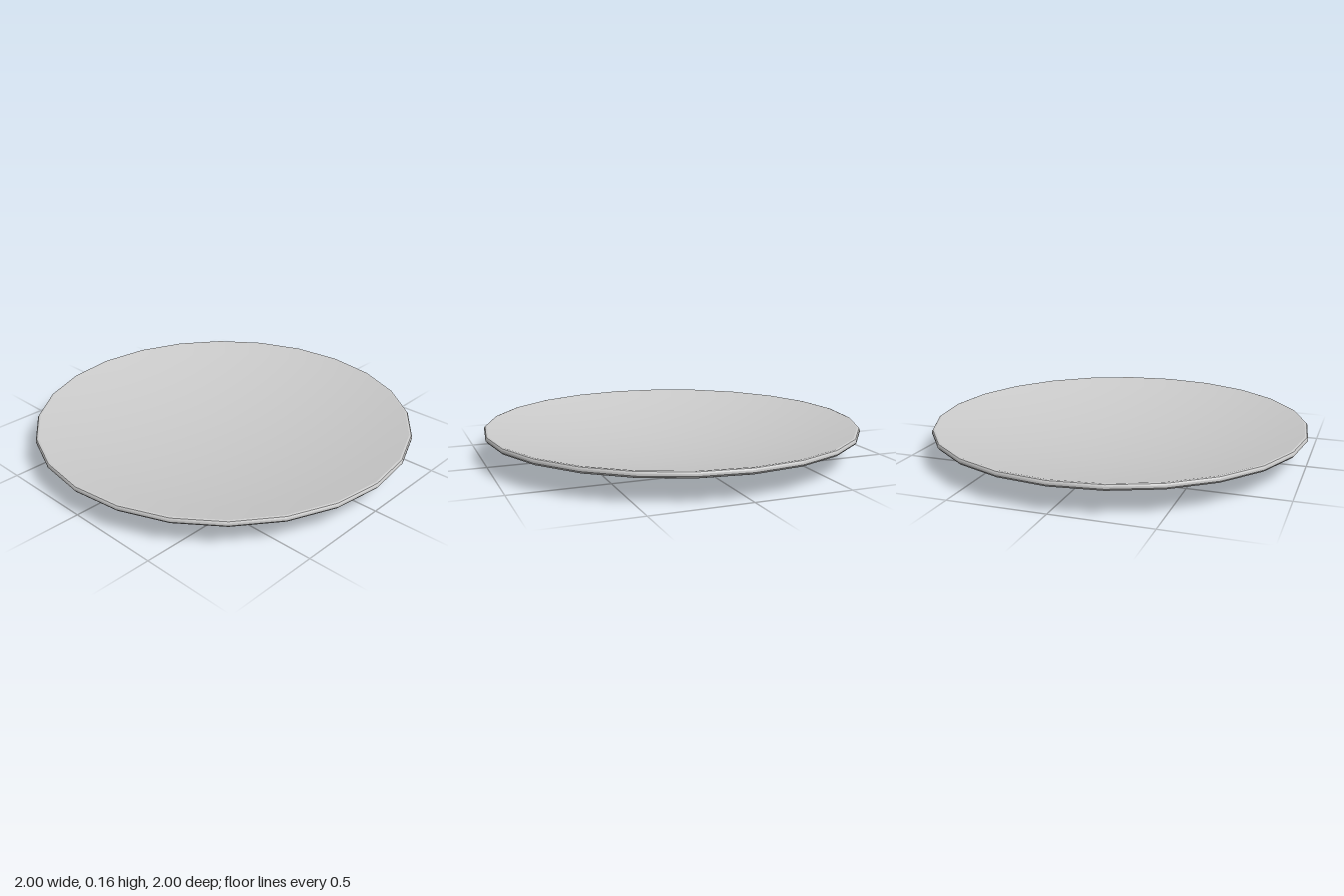
import * as THREE from 'three';
import { toCreasedNormals } from 'three/addons/utils/BufferGeometryUtils.js';

const SIDES = 24;

export function createModel() {
  const group = new THREE.Group();
  group.name = 'plate';
  const material = new THREE.MeshStandardMaterial({ color: 0xcccccc });

  // Revolves an [radius, height] profile, smooth except at sharp corners
  function turn(name, profile) {
    const points = profile.map(([r, y]) => new THREE.Vector2(r, y));
    const geometry = toCreasedNormals(new THREE.LatheGeometry(points, SIDES), 0.6);
    const mesh = new THREE.Mesh(geometry, material);
    mesh.name = name;
    group.add(mesh);
  }

  // Shallow dished upper surface, from the lip to the centre
  const dish = [];
  for (let i = 8; i >= 0; i--) {
    const t = i / 8;
    dish.push([0.985 * t, 0.055 + 0.102 * t * t]);
  }
  turn('dish', dish);

  // Sloping underside running into the rounded rim
  turn('undersideAndRim', [
    [0.425, 0.03], [0.98, 0.122], [0.992, 0.126], [1, 0.136],
    [1, 0.147], [0.995, 0.155], [0.985, 0.157],
  ]);

  // Flat recessed base and the foot ring around it
  turn('footRing', [
    [0, 0.027], [0.42, 0.027], [0.42, 0.004], [0.424, 0],
    [0.436, 0], [0.442, 0.005], [0.442, 0.034],
  ]);

  return group;
}
